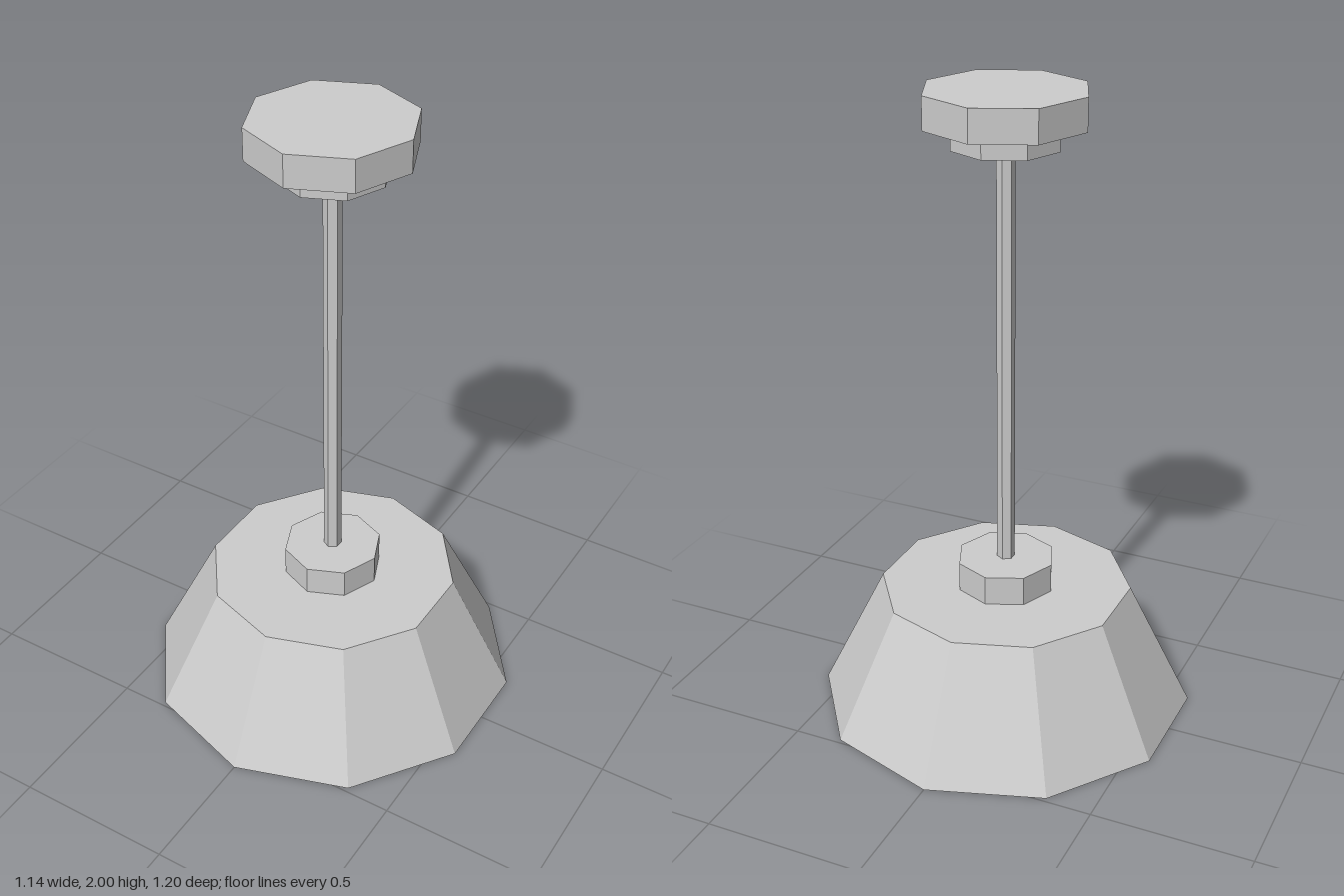
import * as THREE from 'three';

export function createModel() {
  const lamp = new THREE.Group();
  lamp.name = 'pendantLamp';

  const grey = new THREE.MeshStandardMaterial({ color: 0xcccccc, flatShading: true });
  grey.name = 'light grey';

  // Closed faceted solid turned from [radius, height] points, first corner on +z
  function turned(name, sides, points) {
    const profile = points.map(([r, y]) => new THREE.Vector2(r, y));
    const mesh = new THREE.Mesh(new THREE.LatheGeometry(profile, sides), grey);
    mesh.name = name;
    lamp.add(mesh);
  }

  // Upright prism between two heights
  function prism(name, sides, radius, y0, y1) {
    const geometry = new THREE.CylinderGeometry(radius, radius, y1 - y0, sides);
    const mesh = new THREE.Mesh(geometry, grey);
    mesh.name = name;
    mesh.position.y = (y0 + y1) / 2;
    lamp.add(mesh);
  }

  // Ceiling mount
  prism('ceilingPlate', 8, 0.25, 1.9, 2);
  prism('ceilingCollar', 8, 0.168, 1.835, 1.9);

  // Rod and the collar that holds the shade
  prism('rod', 6, 0.028, 0.5, 1.835);
  prism('shadeCollar', 8, 0.157, 0.405, 0.5);

  // Hollow shade: inner ceiling, inner wall, rim, outer wall, top
  turned('shade', 10, [[0, 0.385], [0.39, 0.385], [0.58, 0], [0.6, 0], [0.4, 0.405], [0, 0.405]]);

  // Diffuser inside the shade, with a bevelled lower edge
  turned('diffuser', 10, [[0, 0.07], [0.36, 0.07], [0.42, 0.16], [0.36, 0.385], [0, 0.385]]);

  return lamp;
}
